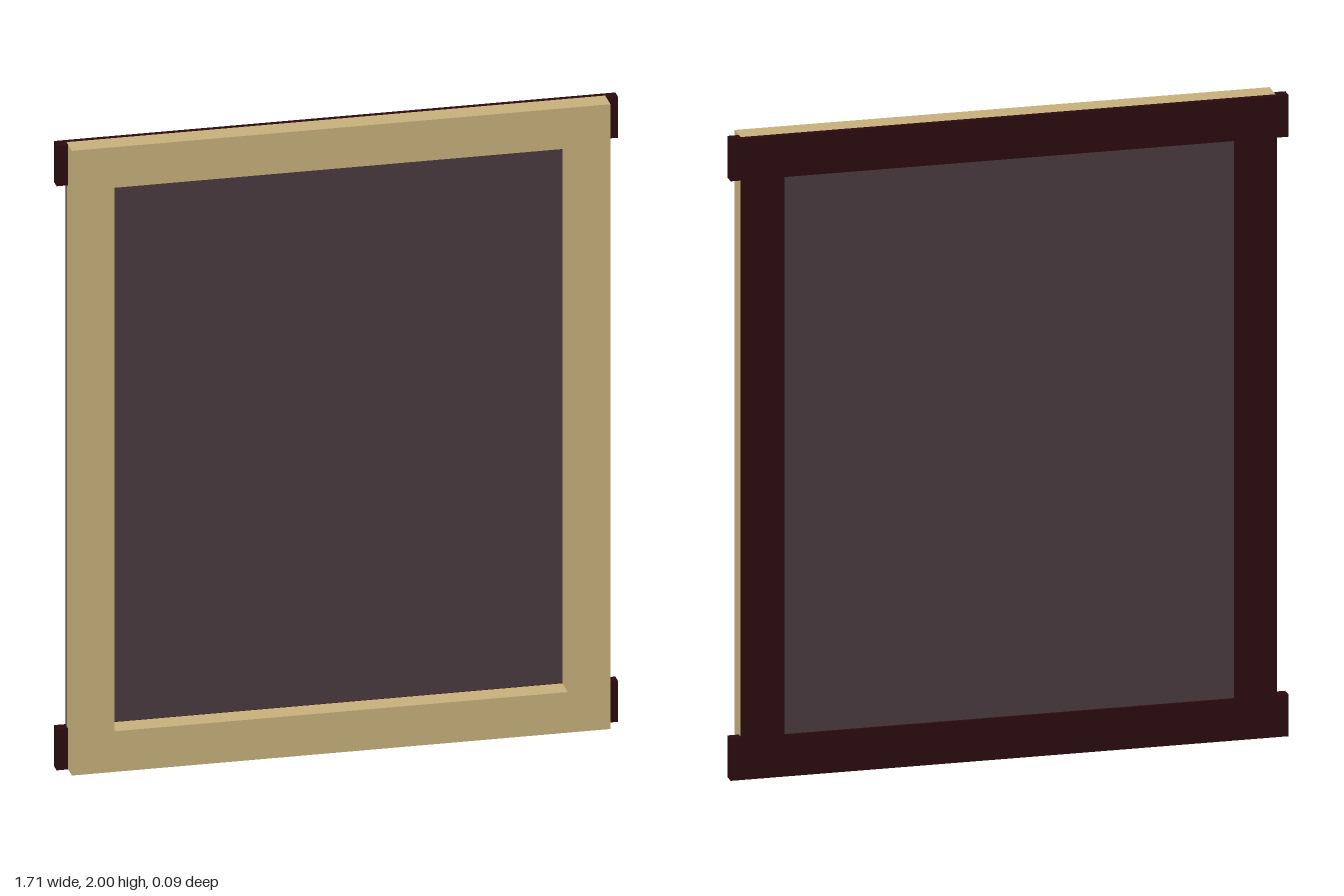
import * as THREE from 'three';

export function createModel() {
  const model = new THREE.Group();
  const mat = (name, color) => Object.assign(new THREE.MeshStandardMaterial({ color }), { name });
  const tan = mat('paleWood', 0xc9b17d);
  const dark = mat('darkWood', 0x2c0a0e);
  const grey = mat('panelGrey', 0x4b3b40);

  const W = 0.82, H = 2, border = 0.13;
  const front = 0.044, seam = -0.027, back = -0.044;

  // Rectangular frame with an opening, between two depths
  function frame(name, z0, z1, material) {
    const shape = new THREE.Shape([[-W, 0], [W, 0], [W, H], [-W, H]].map(p => new THREE.Vector2(...p)));
    const x = W - border;
    shape.holes.push(new THREE.Path(
      [[-x, border], [-x, H - border], [x, H - border], [x, border]].map(p => new THREE.Vector2(...p))));
    const geo = new THREE.ExtrudeGeometry(shape, { depth: z1 - z0, bevelEnabled: false });
    geo.translate(0, 0, z0);
    const mesh = new THREE.Mesh(geo, material);
    mesh.name = name;
    model.add(mesh);
  }

  function box(name, x0, x1, y0, y1, z0, z1, material) {
    const mesh = new THREE.Mesh(new THREE.BoxGeometry(x1 - x0, y1 - y0, z1 - z0), material);
    mesh.position.set((x0 + x1) / 2, (y0 + y1) / 2, (z0 + z1) / 2);
    mesh.name = name;
    model.add(mesh);
  }

  frame('frontFrame', seam, front, tan);
  frame('backFrame', back, seam, dark);

  // Thin panel closing the opening, slightly recessed from the back
  box('panel', -W + border, W - border, border, H - border, -0.036, -0.029, grey);

  // Rail ends that stick out at the four corners
  for (const [side, x0, x1] of [['left', W, 0.855], ['right', -0.855, -W]]) {
    box(side + 'LowerRailEnd', x0, x1, 0, border, back, -0.006, dark);
    box(side + 'UpperRailEnd', x0, x1, H - border, H, back, -0.006, dark);
  }

  return model;
}
